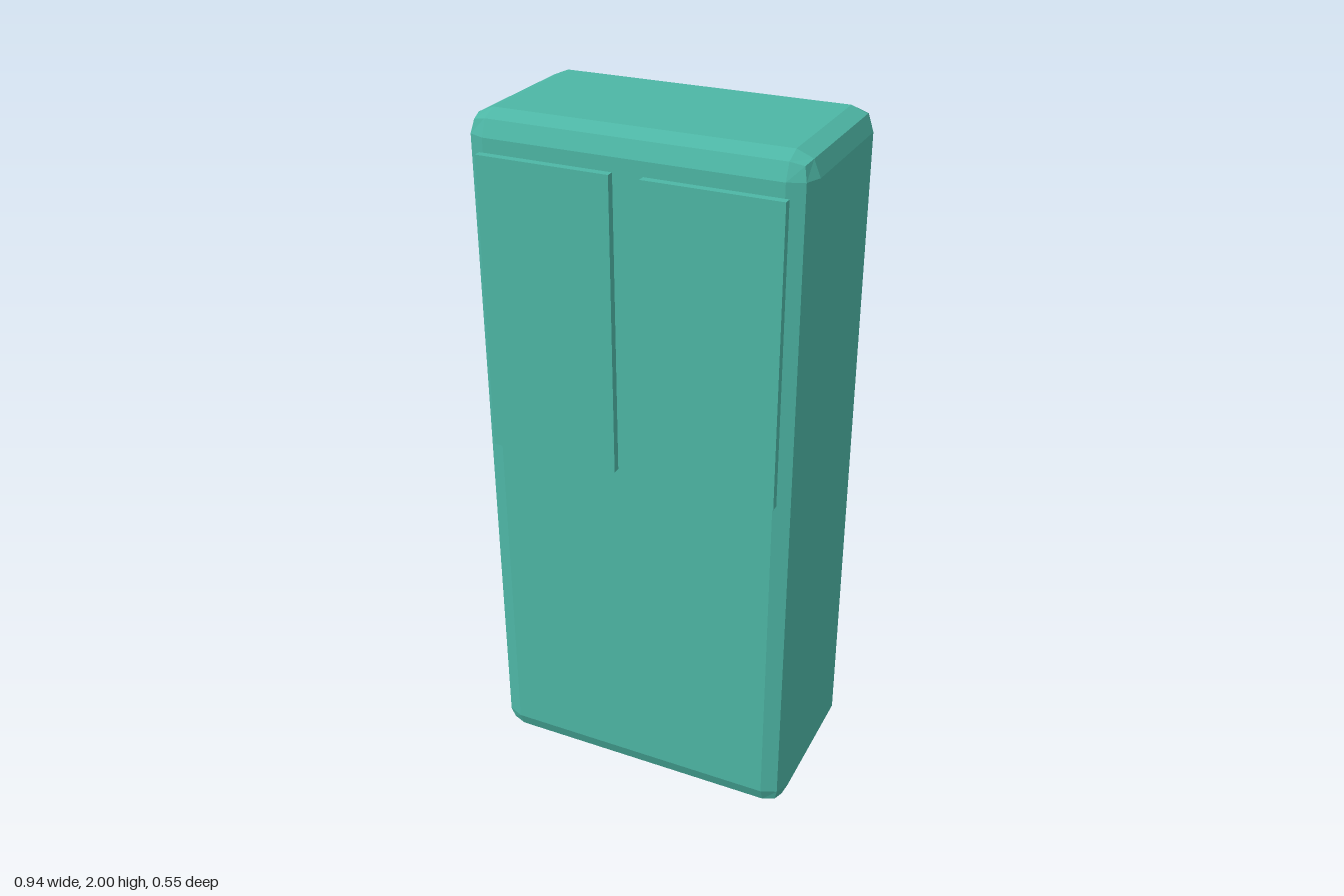
import * as THREE from 'three';
import { RoundedBoxGeometry } from 'three/addons/geometries/RoundedBoxGeometry.js';

export function createModel() {
  const group = new THREE.Group();
  group.name = 'cabinet';

  const teal = new THREE.MeshStandardMaterial({ color: 0x4db6a5, flatShading: true });
  teal.name = 'teal';

  // Body: tall box with two-facet rounded edges
  const back = -0.273, front = 0.25;
  const body = new THREE.Mesh(new RoundedBoxGeometry(0.944, 2, front - back, 1, 0.063), teal);
  body.name = 'body';
  body.position.set(0, 1, (front + back) / 2);
  group.add(body);

  // Pair of raised panels on the upper front
  const panelDepth = 0.022;
  const panelGeometry = new THREE.BoxGeometry(0.378, 0.838, panelDepth);
  for (const [name, side] of [['leftPanel', 1], ['rightPanel', -1]]) {
    const panel = new THREE.Mesh(panelGeometry, teal);
    panel.name = name;
    panel.position.set(side * 0.231, 1.479, front + panelDepth / 2);
    group.add(panel);
  }

  return group;
}
